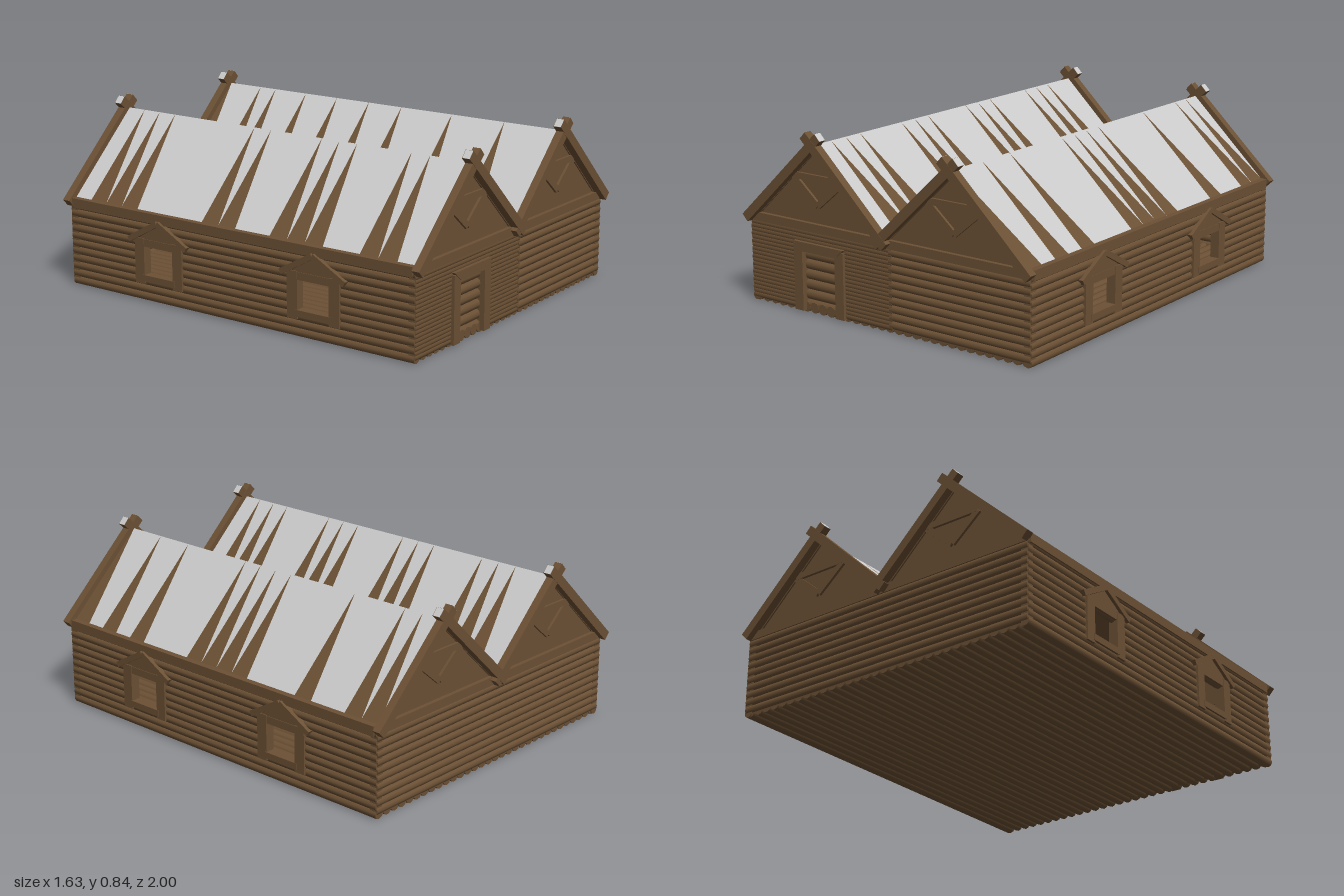
import * as THREE from 'three';

const brown = new THREE.MeshStandardMaterial({ color: 0x6b5034, side: THREE.DoubleSide });
const grey = new THREE.MeshStandardMaterial({ color: 0xcccccc, side: THREE.DoubleSide });

const RIDGE = 0.785, EAVE = 0.42, HALF = 0.385, ROOF_Z = 0.957;
const WALL_X = 0.775, WALL_Z = 0.95, PITCH = 0.0365;

function add(parent, name, geometry, material = brown) {
  const mesh = new THREE.Mesh(geometry, material);
  mesh.name = name;
  parent.add(mesh);
  return mesh;
}

function box(parent, name, size, pos, material) {
  const mesh = add(parent, name, new THREE.BoxGeometry(...size), material);
  mesh.position.set(...pos);
  return mesh;
}

// Board in an XY plane running from a to b
function board(parent, name, a, b, width, depth, z) {
  const dx = b[0] - a[0], dy = b[1] - a[1];
  const mesh = box(parent, name, [Math.hypot(dx, dy), width, depth], [(a[0] + b[0]) / 2, (a[1] + b[1]) / 2, z]);
  mesh.rotation.z = Math.atan2(dy, dx);
  return mesh;
}

// Round log along x or z from a to b
function log(parent, axis, a, b, y, across, r) {
  const g = new THREE.CylinderGeometry(r, r, b - a, 10);
  if (axis === 'x') g.rotateZ(Math.PI / 2).translate((a + b) / 2, y, across);
  else g.rotateX(Math.PI / 2).translate(across, y, (a + b) / 2);
  add(parent, 'log', g);
}

// Stack of logs, each cut where it meets an opening [from, to, bottom, top]
function logWall(parent, name, axis, from, to, across, y0, count, openings = [], pitch = PITCH, r = 0.0215) {
  const wall = new THREE.Group();
  wall.name = name;
  parent.add(wall);
  for (let i = 0; i < count; i++) {
    const y = y0 + i * pitch;
    let start = from;
    for (const [a, b, lo, hi] of openings) {
      if (y < lo || y > hi) continue;
      log(wall, axis, start, a, y, across, r);
      start = b;
    }
    log(wall, axis, start, to, y, across, r);
  }
}

function triangle(points, depth) {
  const shape = new THREE.Shape(points.map(p => new THREE.Vector2(...p)));
  return new THREE.ExtrudeGeometry(shape, { depth, bevelEnabled: false });
}

// Window frame with a small pitched hood, facing +z
function makeWindow() {
  const g = new THREE.Group();
  g.name = 'window';
  for (const s of [-1, 1]) {
    box(g, 'windowJamb', [0.055, 0.215, 0.045], [s * 0.112, 0.193, -0.002]);
    board(g, 'windowHood', [s * 0.17, 0.288], [0, 0.383], 0.026, 0.055, 0.002);
  }
  box(g, 'windowSill', [0.19, 0.03, 0.05], [0, 0.113, -0.002]);
  box(g, 'windowLintel', [0.28, 0.035, 0.04], [0, 0.28, -0.002]);
  add(g, 'windowGable', triangle([[-0.14, 0.285], [0.14, 0.285], [0, 0.375]], 0.03)).position.z = -0.015;
  return g;
}

// One roof slope of planks; listed planks carry a diagonal brown half
function roofSlope(parent, ridgeX, eaveX, patched) {
  const tris = { grey: [], brown: [] };
  const step = 2 * ROOF_Z / 20, right = eaveX > ridgeX;
  for (let i = 0; i < 20; i++) {
    const z0 = -ROOF_Z + i * step, z1 = z0 + step;
    const near = right ? z1 : z0, far = right ? z0 : z1;
    const ridgeNear = [ridgeX, RIDGE, near], ridgeFar = [ridgeX, RIDGE, far];
    const eaveNear = [eaveX, EAVE, near], eaveFar = [eaveX, EAVE, far];
    tris.grey.push(...ridgeNear, ...eaveFar, ...ridgeFar);
    tris[patched.includes(i) ? 'brown' : 'grey'].push(...ridgeNear, ...eaveNear, ...eaveFar);
  }
  for (const [key, mat] of [['grey', grey], ['brown', brown]]) {
    const geo = new THREE.BufferGeometry();
    geo.setAttribute('position', new THREE.Float32BufferAttribute(tris[key], 3));
    geo.computeVertexNormals();
    add(parent, key === 'grey' ? 'roofPlanks' : 'roofPatches', geo, mat);
  }
  const deck = board(parent, 'roofDeck', [ridgeX, RIDGE - 0.017], [eaveX, EAVE - 0.017], 0.016, 2 * ROOF_Z, 0);
  deck.scale.x = 0.97;
}

// Gable panel, braces and crossed barge boards, facing +z
function makeGable() {
  const g = new THREE.Group();
  g.name = 'gable';
  add(g, 'gablePanel', triangle([[-HALF, 0.385], [HALF, 0.385], [HALF, EAVE], [0, RIDGE - 0.005], [-HALF, EAVE]], 0.02))
    .position.z = WALL_Z - 0.02;
  box(g, 'tieBeam', [2 * HALF + 0.02, 0.04, 0.04], [0, 0.402, WALL_Z]);
  box(g, 'collarBeam', [0.28, 0.03, 0.016], [0, 0.63, WALL_Z + 0.005]);
  for (const s of [-1, 1]) {
    board(g, 'brace', [s * 0.14, 0.622], [0, 0.505], 0.03, 0.014, WALL_Z + 0.005);
    const lower = [s * 0.415, 0.395], upper = [-s * 0.043, 0.827];
    const barge = board(g, 'bargeBoard', lower, upper, 0.043, s > 0 ? 0.04 : 0.038, 0.98);
    // Pale end grain at the crossed tips
    const tip = box(g, 'bargeTip', [0.002, 0.041, 0.036], [upper[0], upper[1], 0.98], grey);
    tip.rotation.z = barge.rotation.z;
  }
  return g;
}

export function createModel() {
  const model = new THREE.Group();
  model.name = 'logHouse';

  // Floor logs
  const floor = new THREE.Group();
  floor.name = 'floor';
  model.add(floor);
  for (let i = 0; i < 32; i++) log(floor, 'z', -0.96, 0.96, 0.0255, -0.765 + i * 1.53 / 31, 0.0255);

  // Side walls with two windows each
  const windowZ = [-0.425, 0.45];
  const windowGaps = windowZ.map(z => [z - 0.09, z + 0.09, 0.115, 0.275]);
  for (const s of [-1, 1]) {
    logWall(model, 'sideWall', 'z', -0.965, 0.965, s * WALL_X, 0.022, 11, windowGaps);
    box(model, 'eaveBeam', [0.03, 0.045, 1.91], [s * 0.785, 0.4, 0]);
    for (const z of windowZ) {
      const w = makeWindow();
      w.rotation.y = s * Math.PI / 2;
      w.position.set(s * 0.783, 0, z);
      model.add(w);
    }
  }
  box(model, 'valleyBeam', [0.03, 0.04, 1.9], [0, 0.393, 0]);

  // Back wall, and front wall with closer logs around the door
  logWall(model, 'backWall', 'x', -0.79, 0.79, -WALL_Z, 0.0385, 10);
  logWall(model, 'frontWallRight', 'x', 0.03, 0.79, WALL_Z, 0.0385, 10);
  logWall(model, 'frontWallDoorSide', 'x', -0.79, 0.045, WALL_Z, 0.028, 20, [[-0.48, -0.26, 0, 0.3]], PITCH / 2, 0.019);

  // Door of horizontal logs in a framed opening
  logWall(model, 'door', 'x', -0.47, -0.27, 0.935, 0.035, 6, [], 0.047, 0.0255);
  for (const s of [-1, 1]) {
    box(model, 'doorJamb', [0.05, 0.31, 0.05], [-0.37 + s * 0.122, 0.165, 0.957]);
  }
  const lintel = triangle([[-0.15, 0.333], [-0.1, 0.29], [0.1, 0.29], [0.15, 0.333]], 0.05);
  add(model, 'doorLintel', lintel).position.set(-0.37, 0, 0.935);

  // Two parallel gabled roofs
  const patches = [
    [1, 2, 3, 8, 9, 12, 13, 14, 17, 18],
    [1, 2, 3, 6, 7, 8, 11, 12, 13, 16, 17, 18],
    [0, 2, 3, 5, 7, 9, 11, 14, 17],
    [0, 1, 4, 8, 9, 10, 11, 15, 17, 19],
  ];
  [-HALF, HALF].forEach((x, k) => {
    const roof = new THREE.Group();
    roof.name = 'roof';
    model.add(roof);
    roofSlope(roof, x, x - HALF, patches[2 * k]);
    roofSlope(roof, x, x + HALF, patches[2 * k + 1]);
    for (const turn of [0, Math.PI]) {
      const gable = makeGable();
      gable.rotation.y = turn;
      gable.position.x = x;
      model.add(gable);
    }
  });
  return model;
}
